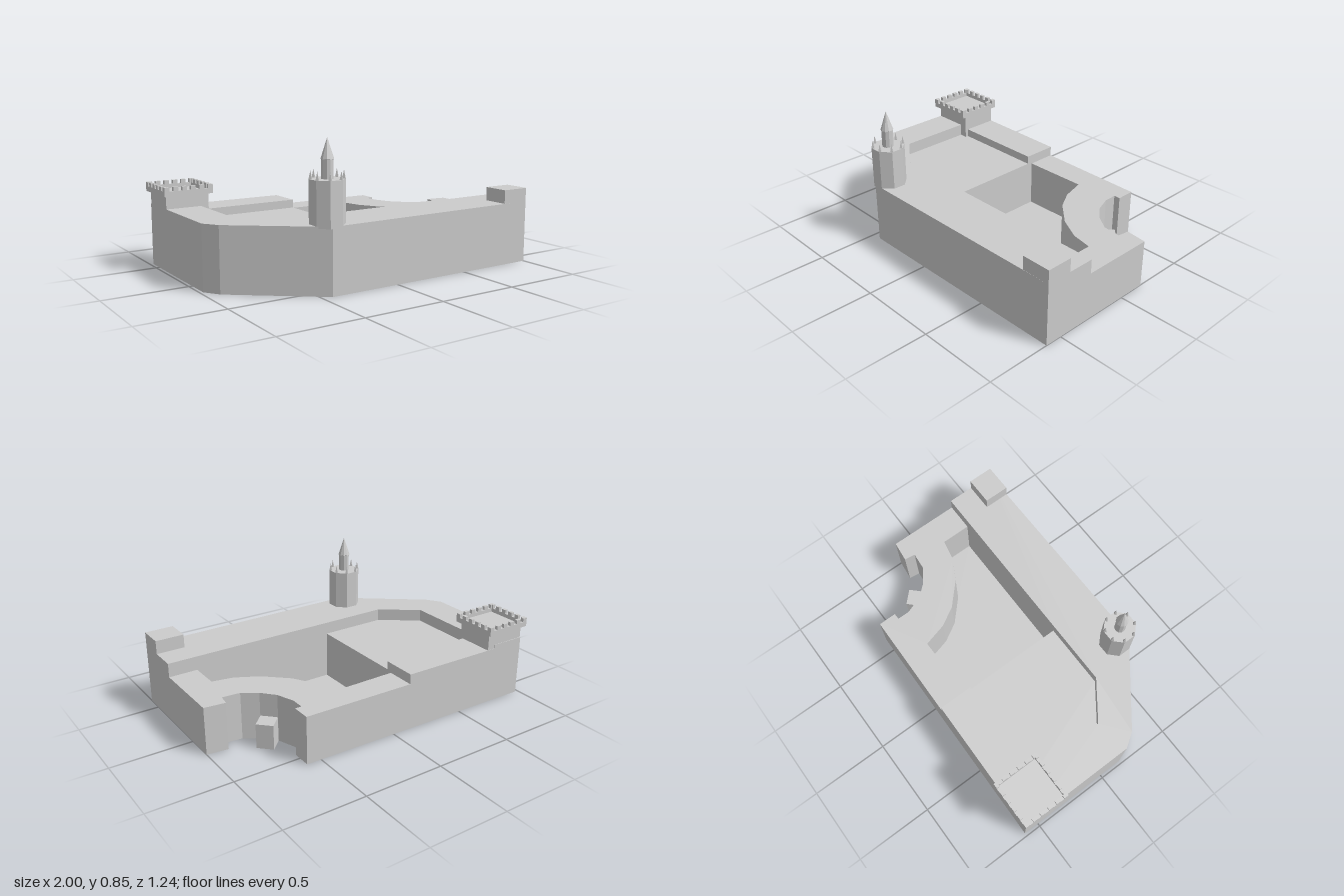
import * as THREE from 'three';

const mat = new THREE.MeshStandardMaterial({ color: 0xcccccc, flatShading: true, side: THREE.DoubleSide });

export function createModel() {
  const root = new THREE.Group();

  const add = (name, geo, x = 0, y = 0, z = 0, parent = root) => {
    const m = new THREE.Mesh(geo, mat);
    m.name = name;
    m.position.set(x, y, z);
    parent.add(m);
    return m;
  };
  // Box given by its extents
  const box = (name, x0, x1, y0, y1, z0, z1, parent) =>
    add(name, new THREE.BoxGeometry(x1 - x0, y1 - y0, z1 - z0),
      (x0 + x1) / 2, (y0 + y1) / 2, (z0 + z1) / 2, parent);
  // Flat horizontal sheet from [x, z] points
  const sheet = (name, pts, y) => {
    const s = new THREE.Shape(pts.map(([x, z]) => new THREE.Vector2(x, -z)));
    return add(name, new THREE.ShapeGeometry(s).rotateX(-Math.PI / 2), 0, y, 0);
  };
  // Vertical wall strip along [x, z] points
  const wall = (name, pts, y0, y1) => {
    const pos = [];
    for (let i = 0; i + 1 < pts.length; i++) {
      const [ax, az] = pts[i], [bx, bz] = pts[i + 1];
      pos.push(ax, y0, az, bx, y0, bz, bx, y1, bz, ax, y0, az, bx, y1, bz, ax, y1, az);
    }
    const g = new THREE.BufferGeometry();
    g.setAttribute('position', new THREE.Float32BufferAttribute(pos, 3));
    g.computeVertexNormals();
    return add(name, g);
  };

  // Plan outlines
  const HIGH = 0.382, MID = 0.357, LOW = 0.295, TERRACE = 0.305;
  const frontOuter = [[1, 0.28], [1, 0.605], [-0.44, 0.615], [-0.92, 0.24], [-0.98, 0.15], [-0.98, -0.6], [-0.76, -0.597]];
  const terraceEdge = [[-0.76, -0.37], [-0.76, 0.11], [-0.53, 0.28], [-0.11, 0.28]];
  const notch = [[0.59, -0.575], [0.59, -0.46], [0.55, -0.46], [0.55, -0.38], [0.59, -0.27], [0.66, -0.19],
    [0.75, -0.13], [0.86, -0.12], [0.87, -0.19], [1, -0.175]];
  const courtCurve = [[0.82, 0.28], [0.82, 0.09], [0.69, 0.065], [0.55, -0.01], [0.41, -0.14], [0.34, -0.26],
    [0.3, -0.41], [-0.11, -0.405]];

  // Roofs, terrace and courtyard floor
  sheet('frontAndWestRoof', [...frontOuter, ...terraceEdge], HIGH);
  sheet('backRoof', [[-0.76, -0.597], [-0.11, -0.587], [-0.11, -0.37], [-0.76, -0.37]], MID);
  sheet('lowRoof', [[-0.11, -0.587], ...notch, [1, 0.28], ...courtCurve], LOW);
  sheet('terrace', [...terraceEdge, [-0.11, -0.37]], TERRACE);
  sheet('courtyardFloor', [...courtCurve, [-0.11, 0.28]], 0.005);

  // Outer walls
  wall('frontAndWestWall', frontOuter, 0, HIGH);
  wall('backWall', [[-0.76, -0.597], [-0.11, -0.587]], 0, MID);
  wall('notchWall', [[-0.11, -0.587], ...notch, [1, 0.28]], 0, LOW);

  // Courtyard walls and steps between levels
  wall('terraceWall', terraceEdge, TERRACE, HIGH);
  wall('courtFrontWall', [[-0.11, 0.28], [0.82, 0.28]], 0, HIGH);
  wall('eastRoofStep', [[0.82, 0.28], [1, 0.28]], LOW, HIGH);
  wall('courtCurvedWall', courtCurve, 0, LOW);
  wall('terraceDrop', [[-0.11, -0.405], [-0.11, 0.28]], 0, TERRACE);
  wall('backRoofEnd', [[-0.11, -0.587], [-0.11, -0.37]], LOW, MID);
  wall('backRoofInnerWall', [[-0.11, -0.37], [-0.76, -0.37]], TERRACE, MID);
  wall('westRoofStep', [[-0.76, -0.597], [-0.76, -0.37]], MID, HIGH);

  // Corner block and the small annex set diagonally in the notch
  box('cornerBlock', 0.82, 1, HIGH, 0.466, 0.445, 0.605);
  add('annex', new THREE.BoxGeometry(0.103, 0.152, 0.103), 0.662, 0.076, -0.268).rotation.y = Math.PI / 4;

  // Square tower with an overhanging battlement
  const keep = new THREE.Group();
  keep.name = 'squareTower';
  root.add(keep);
  box('towerBlock', -0.98, -0.71, 0.3, 0.462, -0.595, -0.35, keep);
  const X0 = -1, X1 = -0.695, Z0 = -0.62, Z1 = -0.317, T = 0.02, B = 0.46, P = 0.492, M = 0.516;
  box('platform', X0, X1, B, 0.468, Z0, Z1, keep);
  for (const z of [Z0, Z1 - T]) box('parapet', X0, X1, B, P, z, z + T, keep);
  for (const x of [X0, X1 - T]) box('parapet', x, x + T, B, P, Z0 + T, Z1 - T, keep);
  const n = 6, w = 0.03;
  for (let i = 0; i < n; i++) {
    const x = X0 + (X1 - X0 - w) * i / (n - 1);
    const z = Z0 + (Z1 - Z0 - w) * i / (n - 1);
    for (const e of [Z0, Z1 - T]) box('merlon', x, x + w, P, M, e, e + T, keep);
    for (const e of [X0, X1 - T]) box('merlon', e, e + T, P, M, z, z + w, keep);
  }

  // Octagonal tower with corner spikes and a spire
  const turret = new THREE.Group();
  turret.name = 'octagonalTower';
  turret.position.set(-0.414, 0, 0.522);
  root.add(turret);
  const R = 0.101;
  add('towerBody', new THREE.CylinderGeometry(R, R, 0.256, 8).rotateY(Math.PI / 8), 0, 0.498, 0, turret);
  for (let i = 0; i < 8; i++) {
    const a = (i + 0.5) * Math.PI / 4;
    add('spike', new THREE.ConeGeometry(0.012, 0.048, 4), (R - 0.01) * Math.sin(a), 0.65, (R - 0.01) * Math.cos(a), turret);
  }
  const spire = [[0.034, 0.62], [0.034, 0.73], [0.038, 0.732], [0, 0.848]].map(p => new THREE.Vector2(...p));
  add('spire', new THREE.LatheGeometry(spire, 10), 0, 0, 0, turret);

  return root;
}
